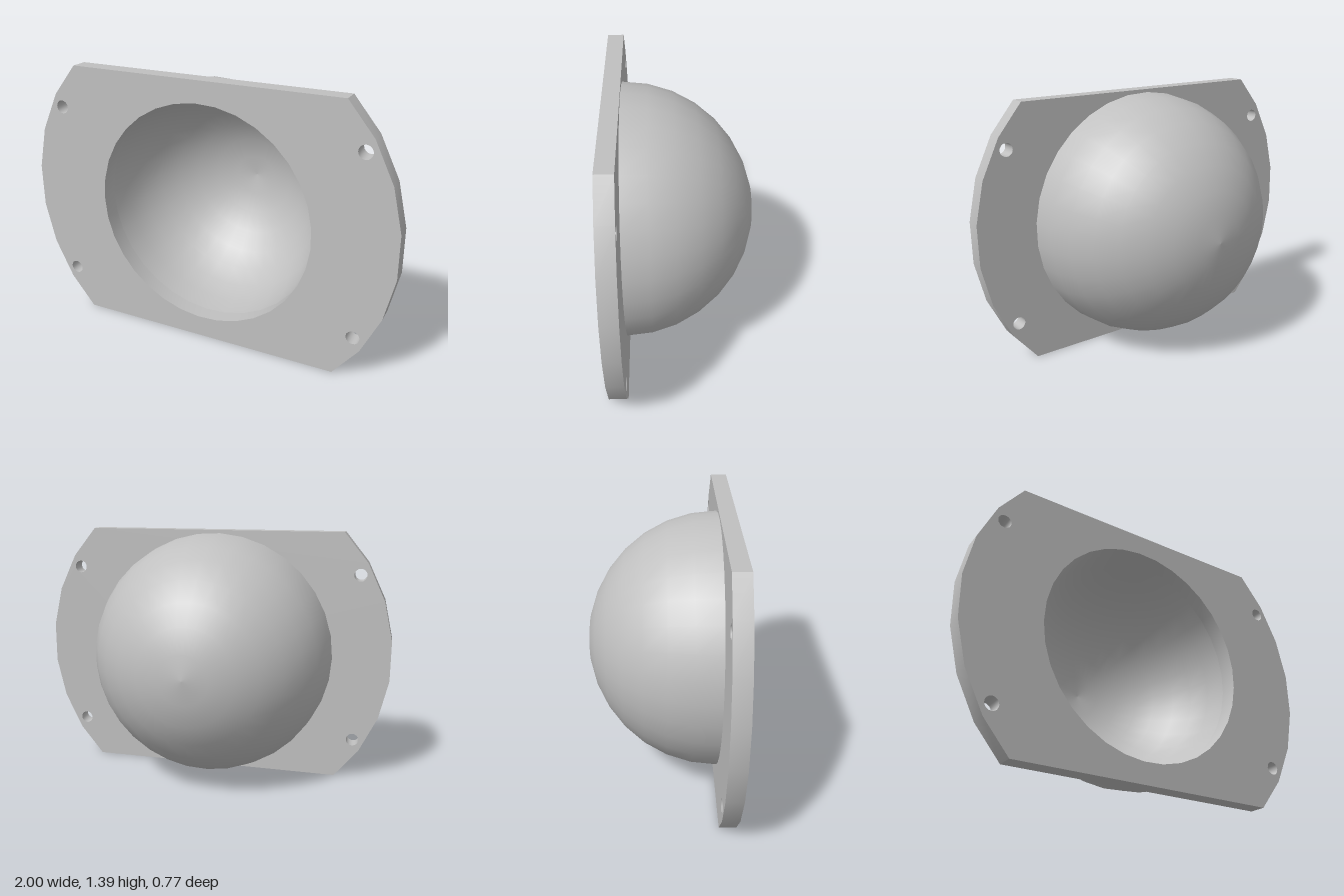
import * as THREE from 'three';
import { toCreasedNormals } from 'three/addons/utils/BufferGeometryUtils.js';

const CENTER_Y = 0.6975, HALF_H = 0.6975;
const PLATE_BACK = 0.297, PLATE_DEPTH = 0.088;
const OUTER_R = 0.681, INNER_R = 0.585;
const SIDES = 33, RINGS = 8;

// Closed regular polygon path with its first corner on -x
function ring(cx, cy, r, n) {
  const pts = [];
  for (let i = 0; i < n; i++) {
    const a = Math.PI - (i / n) * Math.PI * 2;
    pts.push(new THREE.Vector2(cx + r * Math.cos(a), cy + r * Math.sin(a)));
  }
  return new THREE.Path(pts);
}

// Flange: faceted disc cut flat at top and bottom, with bore and bolt holes
function flangeGeometry() {
  const step = (Math.PI * 2) / 28;
  const r = 1 / Math.cos(step / 2);
  const side = [new THREE.Vector2(0.72, -HALF_H)];
  for (let k = -2.5; k <= 2.5; k++) {
    side.push(new THREE.Vector2(r * Math.cos(k * step), r * Math.sin(k * step)));
  }
  side.push(new THREE.Vector2(0.72, HALF_H));
  const shape = new THREE.Shape([...side, ...side.map(p => new THREE.Vector2(-p.x, -p.y))]);
  shape.holes.push(ring(0, 0, INNER_R, SIDES));
  for (const sx of [-1, 1]) {
    for (const sy of [-1, 1]) shape.holes.push(ring(sx * 0.815, sy * 0.47, 0.035, 16));
  }
  const geo = new THREE.ExtrudeGeometry(shape, { depth: PLATE_DEPTH, bevelEnabled: false });
  return toCreasedNormals(geo, 0.6);
}

// Hemisphere bulging towards -z; inward flips the profile so it faces inside
function domeGeometry(radius, inward) {
  const pts = [];
  for (let i = 0; i <= RINGS; i++) {
    const a = (i / RINGS) * Math.PI / 2;
    pts.push(new THREE.Vector2(i === RINGS ? 0 : radius * Math.cos(a), radius * Math.sin(a)));
  }
  if (inward) pts.reverse();
  return new THREE.LatheGeometry(pts, SIDES, -Math.PI / 2).rotateX(-Math.PI / 2);
}

export function createModel() {
  const group = new THREE.Group();
  group.name = 'flangedDome';
  const grey = new THREE.MeshStandardMaterial({ color: 0xc0c0c0 });
  grey.name = 'grey';

  const add = (name, geo) => {
    const mesh = new THREE.Mesh(geo, grey);
    mesh.name = name;
    mesh.position.set(0, CENTER_Y, PLATE_BACK);
    group.add(mesh);
  };
  add('flange', flangeGeometry());
  add('domeOutside', domeGeometry(OUTER_R, false));
  add('domeInside', domeGeometry(INNER_R, true));
  return group;
}
